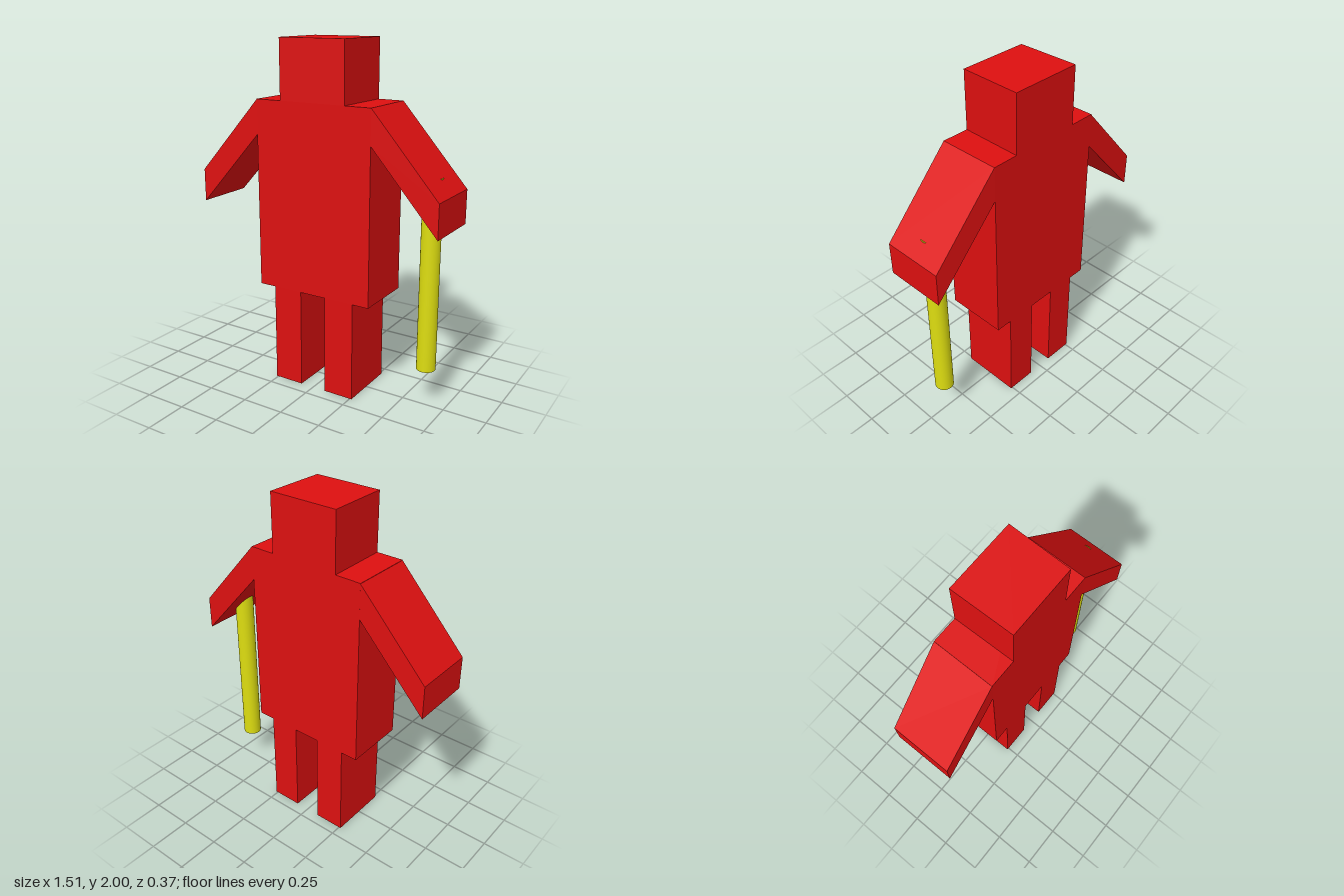
import * as THREE from 'three';

const FRONT = 0.173, BACK = -0.187;

export function createModel() {
  const model = new THREE.Group();
  const red = new THREE.MeshStandardMaterial({ color: 0xdd1010 });
  red.name = 'red';
  const yellow = new THREE.MeshStandardMaterial({ color: 0xdddd10 });
  yellow.name = 'yellow';

  const add = (name, geometry, material) => {
    const mesh = new THREE.Mesh(geometry, material);
    mesh.name = name;
    model.add(mesh);
    return mesh;
  };

  // Upright block between two x and two y limits, as deep as the body
  const block = (name, x0, x1, y0, y1) => {
    const geometry = new THREE.BoxGeometry(x1 - x0, y1 - y0, FRONT - BACK);
    geometry.translate((x0 + x1) / 2, (y0 + y1) / 2, (FRONT + BACK) / 2);
    return add(name, geometry, red);
  };

  block('torso', -0.362, 0.36, 0.58, 1.665);

  // Head, a touch wider at the back
  const head = block('head', -0.203, 0.203, 1.665, 2).geometry;
  const p = head.attributes.position;
  for (let i = 0; i < p.count; i++) {
    if (p.getZ(i) < 0) p.setX(i, p.getX(i) * 1.03);
  }
  head.computeVertexNormals();

  for (const [side, s] of [['left', 1], ['right', -1]]) {
    block(side + 'Leg', s * 0.171 - 0.09, s * 0.171 + 0.09, 0, 0.58);

    // Slanted arm with upright ends, drifting slightly forward at the tip
    const arm = new THREE.Shape([
      [0.36, 1.47], [0.755, 1.035], [0.755, 1.227], [0.36, 1.665],
    ].map(([x, y]) => new THREE.Vector2(s * x, y)));
    const geometry = new THREE.ExtrudeGeometry(arm, { depth: FRONT - BACK, bevelEnabled: false });
    geometry.translate(0, 0, BACK);
    const a = geometry.attributes.position;
    for (let i = 0; i < a.count; i++) {
      a.setZ(i, a.getZ(i) + 0.012 * (Math.abs(a.getX(i)) - 0.36) / 0.395);
    }
    geometry.computeVertexNormals();
    add(side + 'Arm', geometry, red);
  }

  // Staff held under the left hand
  const staff = add('staff', new THREE.CylinderGeometry(0.054, 0.054, 1.088, 32), yellow);
  staff.position.set(0.633, 0.764, -0.007);

  return model;
}
